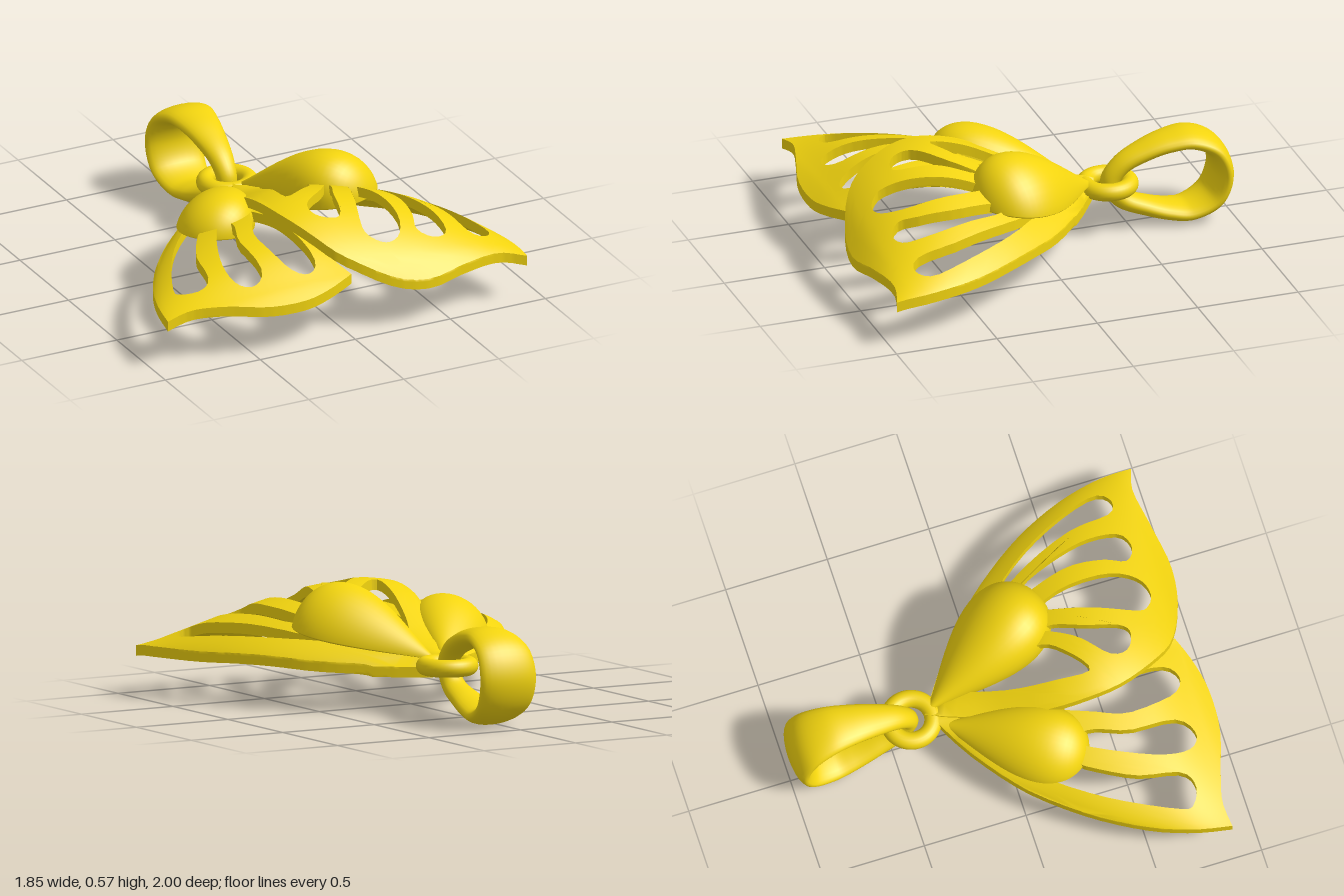
import * as THREE from 'three';
import { mergeVertices, toCreasedNormals } from 'three/addons/utils/BufferGeometryUtils.js';

const gold = new THREE.MeshStandardMaterial({ color: 0xf2d40f });
const vec2 = (list) => list.map(([x, y]) => new THREE.Vector2(x, y));

function named(name, geometry) {
  const mesh = new THREE.Mesh(geometry, gold);
  mesh.name = name;
  return mesh;
}

// Weld seams and shade smoothly
function smooth(geometry) {
  geometry.deleteAttribute('normal');
  geometry.deleteAttribute('uv');
  const g = mergeVertices(geometry, 1e-5);
  g.computeVertexNormals();
  return g;
}

// Smooth function of z through values spaced 0.2 apart, starting at z = -0.3
function along(values) {
  const curve = new THREE.SplineCurve(values.map((v, i) => new THREE.Vector2(i, v)));
  return (z) => curve.getPoint(THREE.MathUtils.clamp((z + 0.3) / 1.4, 0, 1)).y;
}

// Split every triangle into four, so a flat plate can be bent
function subdivide(geometry, levels) {
  let p = Array.from(geometry.attributes.position.array);
  for (let l = 0; l < levels; l++) {
    const out = [];
    for (let i = 0; i < p.length; i += 9) {
      const a = p.slice(i, i + 3), b = p.slice(i + 3, i + 6), c = p.slice(i + 6, i + 9);
      const mid = (s, t) => s.map((v, k) => (v + t[k]) / 2);
      const ab = mid(a, b), bc = mid(b, c), ca = mid(c, a);
      out.push(...a, ...ab, ...ca, ...ab, ...b, ...bc, ...ca, ...bc, ...c, ...ab, ...bc, ...ca);
    }
    p = out;
  }
  const g = new THREE.BufferGeometry();
  g.setAttribute('position', new THREE.Float32BufferAttribute(p, 3));
  return g;
}

// Pierced plate drawn in x,z, then bent into a dome that is steep at its outer rim
function wing(name, { edges, holes, base, ridge, inner, outer }) {
  const shape = new THREE.Shape();
  shape.moveTo(...edges[0][0]);
  edges.forEach((e) => shape.splineThru(vec2(e.slice(1))));
  for (const h of holes) {
    const pts = vec2([...h, h[0]]);
    if (THREE.ShapeUtils.isClockWise(pts)) pts.reverse();
    const path = new THREE.Path();
    path.moveTo(pts[0].x, pts[0].y);
    path.splineThru(pts.slice(1));
    shape.holes.push(path);
  }
  const H = along(ridge), xi = along(inner), xo = along(outer);
  const height = (x, z) => {
    const u = THREE.MathUtils.clamp((x - xi(z)) / (xo(z) - xi(z)) / 1.02, 0, 1);
    const dip = 1 - 0.1 * (Math.max(0, 0.25 - u) / 0.25) ** 2;
    return base + (H(z) - base) * dip * (1 - u * u) ** 0.75;
  };
  const flat = subdivide(new THREE.ExtrudeGeometry(shape, { depth: 0.05, bevelEnabled: false, curveSegments: 3 }), 2);
  const bent = flat.clone(), from = flat.attributes.position, to = bent.attributes.position;
  for (let i = 0; i < from.count; i++) {
    const x = from.getX(i), z = from.getY(i);
    to.setXYZ(i, x, height(x, z) - from.getZ(i), z);
  }
  // The broad faces take the dome's own normals; the cut edges stay crisp
  const g = toCreasedNormals(bent, 0.7), n = new THREE.Vector3(), e = 0.01;
  for (let i = 0; i < from.count; i++) {
    const t = i - (i % 3), d = from.getZ(t);
    if (Math.abs(from.getZ(t + 1) - d) + Math.abs(from.getZ(t + 2) - d) > 1e-6) continue;
    const x = from.getX(i), z = from.getY(i);
    n.set(height(x - e, z) - height(x + e, z), 2 * e, height(x, z - e) - height(x, z + e)).normalize();
    if (d > 0.025) n.negate();
    g.attributes.normal.setXYZ(i, n.x, n.y, n.z);
  }
  return named(name, g);
}

// Domed drop from a pointed tip to a round end, nearly flat below, its crown leaning sideways
function drop(name, tip, end, width, height, lean) {
  const g = new THREE.SphereGeometry(1, 40, 32), pos = g.attributes.position;
  const a = new THREE.Vector3(...tip), b = new THREE.Vector3(...end);
  const axis = new THREE.Vector3().subVectors(b, a).setY(0).normalize();
  const side = new THREE.Vector3(axis.z, 0, -axis.x);
  const p = new THREE.Vector3(), c = new THREE.Vector3();
  for (let i = 0; i < pos.count; i++) {
    p.fromBufferAttribute(pos, i);
    const s = (1 - p.y) / 2, swell = s ** 0.8;
    c.lerpVectors(a, b, s).addScaledVector(side, p.x * swell * width);
    c.y += p.z * swell * (p.z > 0 ? height : height * 0.12);
    c.x += Math.max(0, p.z) * swell * lean;
    pos.setXYZ(i, c.x, c.y, c.z);
  }
  return named(name, smooth(g));
}

// Hanging loop: a band swept round a closed path, widening to the back
function bail() {
  const path = new THREE.CatmullRomCurve3([
    [0.24, -0.405], [0.15, -0.46], [0.095, -0.58], [0.06, -0.69], [0.05, -0.79], [0.11, -0.91],
    [0.24, -0.955], [0.36, -0.91], [0.415, -0.8], [0.41, -0.69], [0.38, -0.58], [0.32, -0.46],
  ].map(([y, z]) => new THREE.Vector3(0, y, z)), true);
  const g = new THREE.TorusGeometry(1, 0.3, 24, 80), pos = g.attributes.position, uv = g.attributes.uv;
  for (let i = 0; i < pos.count; i++) {
    const u = uv.getX(i) % 1, v = uv.getY(i) * Math.PI * 2;
    const c = path.getPoint(u), t = path.getTangent(u);
    const half = THREE.MathUtils.mapLinear(c.z, -0.405, -0.955, 0.05, 0.15), r = 0.045 * Math.cos(v);
    pos.setXYZ(i, 0.04 + half * Math.sin(v), c.y + t.z * r, c.z - t.y * r);
  }
  return named('bail', smooth(g));
}

export function createModel() {
  const group = new THREE.Group();
  group.name = 'wingPendant';

  // Upper wing, overlapping the other
  group.add(wing('leftWing', {
    edges: [
      [[0.03, -0.33], [0.24, -0.19], [0.47, 0], [0.64, 0.2], [0.77, 0.4], [0.86, 0.6], [0.91, 0.8], [0.92, 0.97]],
      [[0.92, 0.97], [0.8, 0.94], [0.6, 0.97], [0.4, 1], [0.2, 0.97], [0, 0.88], [-0.1, 0.76], [-0.18, 0.58],
        [-0.2, 0.4], [-0.18, 0.2], [-0.11, 0], [-0.03, -0.2], [0.03, -0.33]],
    ],
    holes: [
      [[0.06, -0.11], [-0.02, 0.08], [-0.07, 0.29], [-0.08, 0.45], [0.05, 0.37], [0.13, 0.26], [0.1, 0.05]],
      [[0.2, 0.29], [0.1, 0.44], [-0.03, 0.56], [-0.03, 0.65], [0.05, 0.69], [0.1, 0.65], [0.14, 0.5], [0.2, 0.36]],
      [[0.31, 0.28], [0.23, 0.53], [0.16, 0.75], [0.18, 0.82], [0.25, 0.85], [0.33, 0.81], [0.38, 0.68], [0.37, 0.45]],
      [[0.41, 0.28], [0.47, 0.5], [0.46, 0.68], [0.43, 0.79], [0.5, 0.84], [0.58, 0.8], [0.59, 0.65], [0.55, 0.48],
        [0.48, 0.3]],
      [[0.34, 0.02], [0.57, 0.25], [0.72, 0.48], [0.82, 0.73], [0.78, 0.82], [0.7, 0.79], [0.66, 0.57], [0.52, 0.26]],
    ],
    base: 0.22,
    ridge: [0.28, 0.33, 0.42, 0.51, 0.545, 0.5, 0.37, 0.12],
    inner: [0, -0.07, -0.14, -0.19, -0.2, -0.2, -0.2, -0.2],
    outer: [0.06, 0.36, 0.57, 0.72, 0.82, 0.89, 0.93, 0.95],
  }));

  // Lower, flatter wing
  group.add(wing('rightWing', {
    edges: [
      [[0.02, -0.31], [-0.25, -0.15], [-0.47, 0.03], [-0.67, 0.27], [-0.81, 0.5], [-0.89, 0.7], [-0.925, 0.88]],
      [[-0.925, 0.88], [-0.8, 0.87], [-0.65, 0.91], [-0.45, 0.97], [-0.25, 0.98], [-0.1, 0.95], [0.03, 0.9]],
      [[0.03, 0.9], [-0.04, 0.75], [-0.06, 0.55], [-0.08, 0.35], [-0.08, 0.15], [-0.03, -0.1], [0.02, -0.31]],
    ],
    holes: [
      [[-0.18, 0.26], [-0.24, 0.4], [-0.3, 0.57], [-0.26, 0.79], [-0.18, 0.86], [-0.11, 0.8], [-0.12, 0.6], [-0.14, 0.4]],
      [[-0.34, 0.25], [-0.45, 0.45], [-0.53, 0.66], [-0.53, 0.8], [-0.46, 0.85], [-0.38, 0.78], [-0.38, 0.55], [-0.32, 0.37]],
      [[-0.31, -0.04], [-0.5, 0.17], [-0.66, 0.4], [-0.79, 0.67], [-0.78, 0.74], [-0.7, 0.77], [-0.63, 0.72],
        [-0.59, 0.52], [-0.49, 0.33], [-0.4, 0.2]],
    ],
    base: 0.23,
    ridge: [0.27, 0.3, 0.36, 0.41, 0.43, 0.4, 0.3, 0.18],
    inner: [0.02, -0.02, -0.08, -0.08, -0.06, -0.04, 0, 0],
    outer: [-0.06, -0.33, -0.52, -0.68, -0.8, -0.89, -0.93, -0.95],
  }));

  // Domed drops on each wing
  group.add(drop('leftDrop', [0.04, 0.25, -0.33], [0.41, 0.38, 0.34], 0.305, 0.33, -0.08));
  group.add(drop('rightDrop', [-0.01, 0.24, -0.29], [-0.42, 0.33, 0.33], 0.265, 0.25, 0.06));

  // Ring joining wings and bail
  const ring = named('jumpRing', new THREE.TorusGeometry(0.105, 0.042, 20, 48));
  ring.rotation.x = Math.PI / 2;
  ring.position.set(0.038, 0.235, -0.395);
  group.add(ring, bail());
  return group;
}
